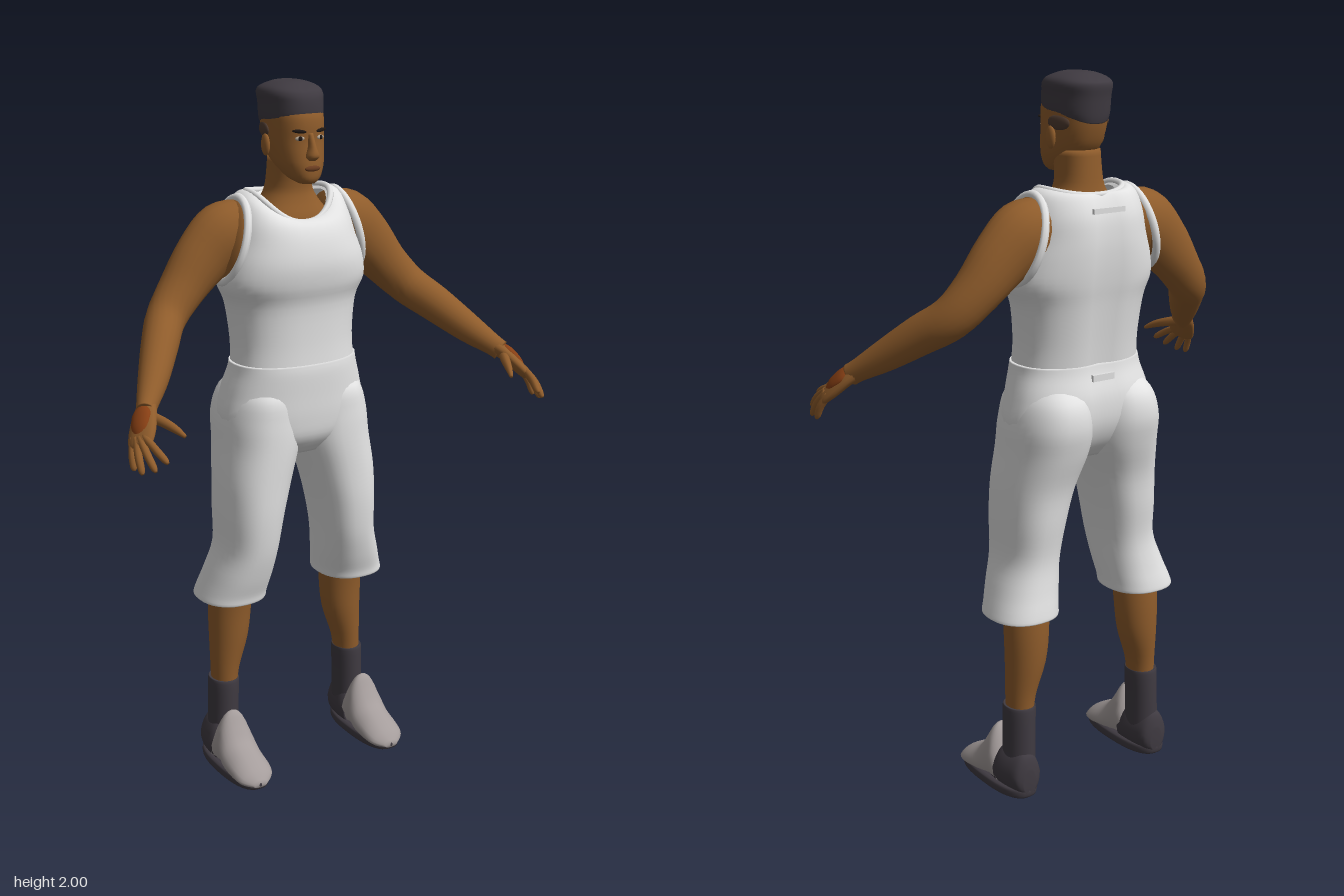
import * as THREE from 'three';

const mat = (name, color, side = THREE.FrontSide) => {
  const m = new THREE.MeshStandardMaterial({ color, side });
  m.name = name;
  return m;
};

// Catmull-Rom refinement of rows of numbers
function refine(rows, k = 4) {
  const out = [], n = rows.length;
  for (let i = 0; i < n - 1; i++) {
    const [a, b, c, d] = [rows[Math.max(0, i - 1)], rows[i], rows[i + 1], rows[Math.min(n - 1, i + 2)]];
    for (let s = 0; s < k; s++) {
      const t = s / k;
      out.push(b.map((_, j) => 0.5 * (2 * b[j] + (c[j] - a[j]) * t
        + (2 * a[j] - 5 * b[j] + 4 * c[j] - d[j]) * t * t
        + (3 * b[j] - a[j] - 3 * c[j] + d[j]) * t * t * t)));
    }
  }
  out.push(rows[n - 1]);
  return out;
}

// Skin closed rings of points; side -1 mirrors in x
function skin(rings, side = 1, capTop = true) {
  const n = rings[0].length, pos = [], idx = [];
  const tri = (a, b, c) => (side > 0 ? idx.push(a, b, c) : idx.push(a, c, b));
  rings.flat().forEach(p => pos.push(p.x * side, p.y, p.z));
  for (let i = 0; i < rings.length - 1; i++) for (let j = 0; j < n; j++) {
    const a = i * n + j, b = i * n + (j + 1) % n;
    tri(a, a + n, b);
    tri(b, a + n, b + n);
  }
  const cap = (ring, start, flip) => {
    const c = ring.reduce((s, p) => s.add(p), new THREE.Vector3()).divideScalar(n), ci = pos.length / 3;
    pos.push(c.x * side, c.y, c.z);
    for (let j = 0; j < n; j++) {
      const a = start + j, b = start + (j + 1) % n;
      flip ? tri(ci, b, a) : tri(ci, a, b);
    }
  };
  cap(rings[0], 0, false);
  if (capTop) cap(rings[rings.length - 1], (rings.length - 1) * n, true);
  const g = new THREE.BufferGeometry();
  g.setAttribute('position', new THREE.Float32BufferAttribute(pos, 3));
  g.setIndex(idx);
  g.computeVertexNormals();
  return g;
}

const power = (v, e) => Math.sign(v) * Math.pow(Math.abs(v), 2 / e);
const angles = n => Array.from({ length: n }, (_, j) => (j / n) * Math.PI * 2);

// Horizontal ring: [y, halfWidth, zFront, zBack, centreX, frontLift, backLift]
function ring([y, w, zf, zb, cx = 0, f = 0, b = 0], e = 2.3, groove = 0, n = 36) {
  return angles(n).map(a => {
    const s = Math.sin(a), x = w * power(Math.cos(a), e);
    let z = (zf + zb) / 2 + ((zf - zb) / 2) * power(s, e);
    if (s < 0) z += groove * Math.exp(-((x / 0.04) ** 2));
    return new THREE.Vector3(cx + x, y + (s > 0 ? f : b) * s * s, z);
  });
}
const loft = (rows, { side = 1, e = 2.3, groove = 0, capTop = true } = {}) =>
  skin(refine(rows).map(r => ring(r, e, groove)), side, capTop);

// Limb along a path of [x, y, z, wideRadius, thinRadius]
function limb(rows, wide, side, n = 16) {
  const r = refine(rows), at = i => new THREE.Vector3(...r[Math.min(r.length - 1, Math.max(0, i))].slice(0, 3));
  return skin(r.map((row, i) => {
    const t = at(i + 1).sub(at(i - 1)).normalize();
    const u = new THREE.Vector3(...wide).addScaledVector(t, -t.dot(new THREE.Vector3(...wide))).normalize();
    const v = u.clone().cross(t);
    return angles(n).map(a => at(i).addScaledVector(u, row[3] * Math.cos(a)).addScaledVector(v, row[4] * Math.sin(a)));
  }), side);
}

// Shoe part along z from [z, halfWidth, yBottom, yTop], narrower toward the top
const shoePart = (rows, cx, side) => skin(refine(rows).map(([z, w, yb, yt]) => angles(24).map(a => {
  const s = power(Math.sin(a), 2.4);
  return new THREE.Vector3(cx + w * power(Math.cos(a), 2.4) * (1 - 0.3 * Math.max(0, -s)), (yb + yt) / 2 - ((yt - yb) / 2) * s, z);
})), side);

export function createModel() {
  const model = new THREE.Group();
  const skinTone = mat('skin', 0x8f5c2b), cloth = mat('white cloth', 0xe2e2e2, THREE.DoubleSide);
  const dark = mat('charcoal', 0x3f3a41), grey = mat('shoe grey', 0xa59d9c);
  const rust = mat('rust', 0x873f14), lip = mat('lip brown', 0x6b3d20), black = mat('eye dark', 0x1e1714);
  const fade = mat('faded hair', 0x4f3b30), eyeWhite = mat('eye white', 0xb5a898);
  const add = (name, geo, material, parent = model) => {
    const m = new THREE.Mesh(geo, material);
    m.name = name;
    parent.add(m);
    return m;
  };
  const blob = (name, material, p, s, ry = 0, rz = 0) => {
    const m = add(name, new THREE.SphereGeometry(1, 16, 12), material);
    m.position.set(...p);
    m.scale.set(...s);
    m.rotation.set(0, ry, rz);
    return m;
  };

  // Head and neck
  add('neck', loft([[1.56, 0.13, -0.03, -0.2], [1.63, 0.115, -0.035, -0.205], [1.68, 0.08, -0.055, -0.198],
    [1.72, 0.061, -0.062, -0.192], [1.8, 0.056, -0.05, -0.185]]), skinTone);
  add('head', loft([[1.735, 0.022, -0.006, -0.06], [1.75, 0.042, 0.003, -0.1], [1.78, 0.06, 0.004, -0.15],
    [1.81, 0.069, 0, -0.18], [1.85, 0.075, -0.006, -0.197], [1.89, 0.076, -0.006, -0.206],
    [1.92, 0.075, -0.012, -0.208], [1.96, 0.068, -0.035, -0.195]]), skinTone);
  add('hair', loft([[1.895, 0.074, -0.014, -0.209, 0, 0.02, -0.025], [1.91, 0.078, -0.012, -0.213, 0, 0.015, -0.02],
    [1.945, 0.079, -0.013, -0.217, 0, 0.005, -0.01], [1.968, 0.081, -0.018, -0.221, 0, 0, 0],
    [1.985, 0.07, -0.03, -0.21, 0, -0.004, -0.004], [1.997, 0.04, -0.07, -0.17, 0, 0, 0], [2, 0.012, -0.1, -0.14, 0, 0, 0]]), dark);
  add('nose', loft([[1.798, 0.012, 0.008, -0.03], [1.81, 0.019, 0.021, -0.03], [1.835, 0.011, 0.014, -0.03],
    [1.87, 0.008, -0.002, -0.03]]), skinTone);
  blob('lips', lip, [0, 1.777, 0.002], [0.024, 0.008, 0.006]);
  for (const s of [1, -1]) {
    blob('ear', skinTone, [s * 0.079, 1.833, -0.112], [0.01, 0.03, 0.018]);
    blob('hairFade', fade, [s * 0.07, 1.872, -0.135], [0.009, 0.02, 0.038], s * 0.22);
    blob('eye', eyeWhite, [s * 0.032, 1.857, -0.011], [0.013, 0.006, 0.004], s * 0.3);
    blob('pupil', black, [s * 0.032, 1.857, -0.0085], [0.006, 0.006, 0.004], s * 0.3);
    blob('eyebrow', black, [s * 0.034, 1.876, -0.01], [0.02, 0.005, 0.004], s * 0.32, s * 0.1);
  }

  // Sleeveless top with scooped neckline
  add('tankTop', loft([[1.225, 0.183, 0.016, -0.235, 0, 0, 0], [1.3, 0.18, 0.012, -0.243, 0, 0, 0],
    [1.4, 0.192, 0.014, -0.256, 0, 0, 0], [1.46, 0.216, 0.03, -0.266, 0, 0, 0], [1.52, 0.208, 0.036, -0.273, 0, 0, 0],
    [1.58, 0.188, 0.025, -0.275, 0, 0, 0], [1.64, 0.174, 0.006, -0.268, 0, -0.02, 0],
    [1.69, 0.155, -0.018, -0.245, 0, -0.055, 0], [1.708, 0.125, -0.036, -0.225, 0, -0.075, -0.015],
    [1.695, 0.105, -0.045, -0.2, 0, -0.08, -0.03]], { groove: 0.016, capTop: false }), cloth);
  const neckline = new THREE.CatmullRomCurve3(ring([1.705, 0.118, -0.033, -0.222, 0, -0.078, -0.015]), true);
  add('collarTrim', new THREE.TubeGeometry(neckline, 72, 0.009, 8, true), cloth);
  const collarTag = add('collarTag', new THREE.BoxGeometry(0.1, 0.014, 0.008), cloth);
  collarTag.position.set(0, 1.655, -0.262);

  // Shorts
  add('shortsWaist', loft([[0.97, 0.1, -0.03, -0.2], [1.02, 0.19, 0.008, -0.24], [1.08, 0.222, 0.018, -0.262],
    [1.15, 0.21, 0.02, -0.262], [1.21, 0.192, 0.021, -0.244], [1.238, 0.187, 0.018, -0.238]], { groove: 0.012 }), cloth);
  const waistTag = add('waistTag', new THREE.BoxGeometry(0.07, 0.018, 0.009), cloth);
  waistTag.position.set(0, 1.205, -0.243);

  for (const side of [1, -1]) {
    add('shortsLeg', loft([[0.575, 0.06, -0.08, -0.2, 0.195], [0.548, 0.085, -0.045, -0.228, 0.198],
      [0.54, 0.099, -0.03, -0.243, 0.2], [0.565, 0.097, -0.025, -0.24, 0.195], [0.62, 0.091, -0.008, -0.228, 0.181],
      [0.7, 0.083, 0.01, -0.218, 0.163], [0.8, 0.091, 0.02, -0.228, 0.153], [0.9, 0.103, 0.021, -0.238, 0.138],
      [1, 0.112, 0.02, -0.266, 0.117], [1.08, 0.11, 0.016, -0.281, 0.112], [1.15, 0.09, 0.005, -0.264, 0.108],
      [1.2, 0.05, -0.05, -0.2, 0.1]], { side }), cloth);

    // Lower leg, sock and shoe
    add('lowerLeg', loft([[0.22, 0.036, -0.11, -0.195, 0.215], [0.3, 0.041, -0.105, -0.2, 0.211],
      [0.4, 0.057, -0.096, -0.214, 0.196], [0.5, 0.064, -0.09, -0.217, 0.191], [0.62, 0.066, -0.075, -0.21, 0.188]],
      { side, e: 2 }), skinTone);
    add('sock', loft([[0.08, 0.044, -0.1, -0.208, 0.22], [0.18, 0.043, -0.1, -0.207, 0.218],
      [0.262, 0.044, -0.1, -0.205, 0.216], [0.27, 0.04, -0.106, -0.2, 0.215]], { side, e: 2 }), dark);
    add('shoeFront', shoePart([[-0.128, 0.05, 0.012, 0.09], [-0.1, 0.056, 0.012, 0.165], [-0.077, 0.054, 0.012, 0.19],
      [-0.05, 0.06, 0.012, 0.148], [-0.02, 0.062, 0.012, 0.108], [0.03, 0.061, 0.012, 0.08],
      [0.065, 0.05, 0.012, 0.058], [0.088, 0.02, 0.015, 0.032]], 0.228, side), grey);
    add('shoeHeel', shoePart([[-0.221, 0.02, 0.02, 0.09], [-0.208, 0.042, 0.015, 0.135], [-0.17, 0.053, 0.01, 0.145],
      [-0.125, 0.057, 0.01, 0.145], [-0.095, 0.052, 0.01, 0.12]], 0.226, side), dark);
    add('sole', loft([[0.004, 0.048, 0.07, -0.205, 0.228], [0.01, 0.06, 0.086, -0.219, 0.228],
      [0.03, 0.061, 0.088, -0.221, 0.228], [0.036, 0.052, 0.08, -0.21, 0.228]], { side, e: 2.5 }), dark);

    // Armhole: rim and shoulder skin inside it
    const armhole = new THREE.Group();
    armhole.name = 'armhole';
    armhole.position.set(side * 0.182, 1.58, -0.135);
    armhole.rotation.z = side * 0.27;
    model.add(armhole);
    const rim = new THREE.TorusGeometry(1, 0.11, 8, 40).rotateY(Math.PI / 2).scale(0.11, 0.116, 0.09);
    add('armholeRim', rim, cloth, armhole);
    add('shoulder', new THREE.SphereGeometry(1, 24, 16).scale(0.03, 0.114, 0.09), skinTone, armhole);

    // Arm
    add('arm', limb([[0.12, 1.62, -0.143, 0.07, 0.07], [0.19, 1.592, -0.146, 0.094, 0.078], [0.26, 1.537, -0.146, 0.083, 0.068],
      [0.33, 1.46, -0.138, 0.066, 0.06], [0.392, 1.393, -0.112, 0.058, 0.054], [0.445, 1.342, -0.045, 0.053, 0.05],
      [0.505, 1.28, 0.035, 0.043, 0.041], [0.553, 1.235, 0.095, 0.031, 0.029], [0.568, 1.22, 0.115, 0.03, 0.025]],
      [0, 1, 0], side, 20), skinTone);

    // Hand with a coloured patch on its back
    const across = [0.5, -0.3, -0.8];
    add('palm', limb([[0.555, 1.232, 0.098, 0.026, 0.022], [0.575, 1.212, 0.123, 0.036, 0.02], [0.597, 1.182, 0.153, 0.041, 0.018],
      [0.614, 1.158, 0.175, 0.037, 0.014], [0.617, 1.153, 0.18, 0.025, 0.009]], across, side), skinTone);
    add('handPatch', limb([[0.573, 1.235, 0.11, 0.012, 0.008], [0.584, 1.219, 0.126, 0.028, 0.015],
      [0.602, 1.194, 0.15, 0.026, 0.013], [0.613, 1.174, 0.165, 0.012, 0.006]], across, side), rust);
    const fingers = [[[0.6, 1.168, 0.195], [0.586, 1.13, 0.272]], [[0.612, 1.16, 0.187], [0.613, 1.108, 0.258]],
      [[0.62, 1.155, 0.172], [0.633, 1.094, 0.222]], [[0.623, 1.152, 0.153], [0.638, 1.094, 0.184]]];
    for (const [a, b] of fingers) {
      const mix = (t, lift = 0) => a.map((v, i) => v + (b[i] - v) * t + lift * [0.65, 0.72, 0.14][i]);
      add('finger', limb([[...mix(-0.25), 0.01, 0.01], [...mix(0.4, 0.006), 0.0105, 0.0105], [...mix(0.85, 0.002), 0.009, 0.009],
        [...mix(1), 0.004, 0.004]], across, side, 10), skinTone);
    }
    add('thumb', limb([[0.572, 1.215, 0.118, 0.016, 0.014], [0.548, 1.205, 0.165, 0.014, 0.013], [0.53, 1.192, 0.205, 0.011, 0.01],
      [0.517, 1.178, 0.234, 0.005, 0.005]], across, side, 10), skinTone);
  }
  return model;
}
